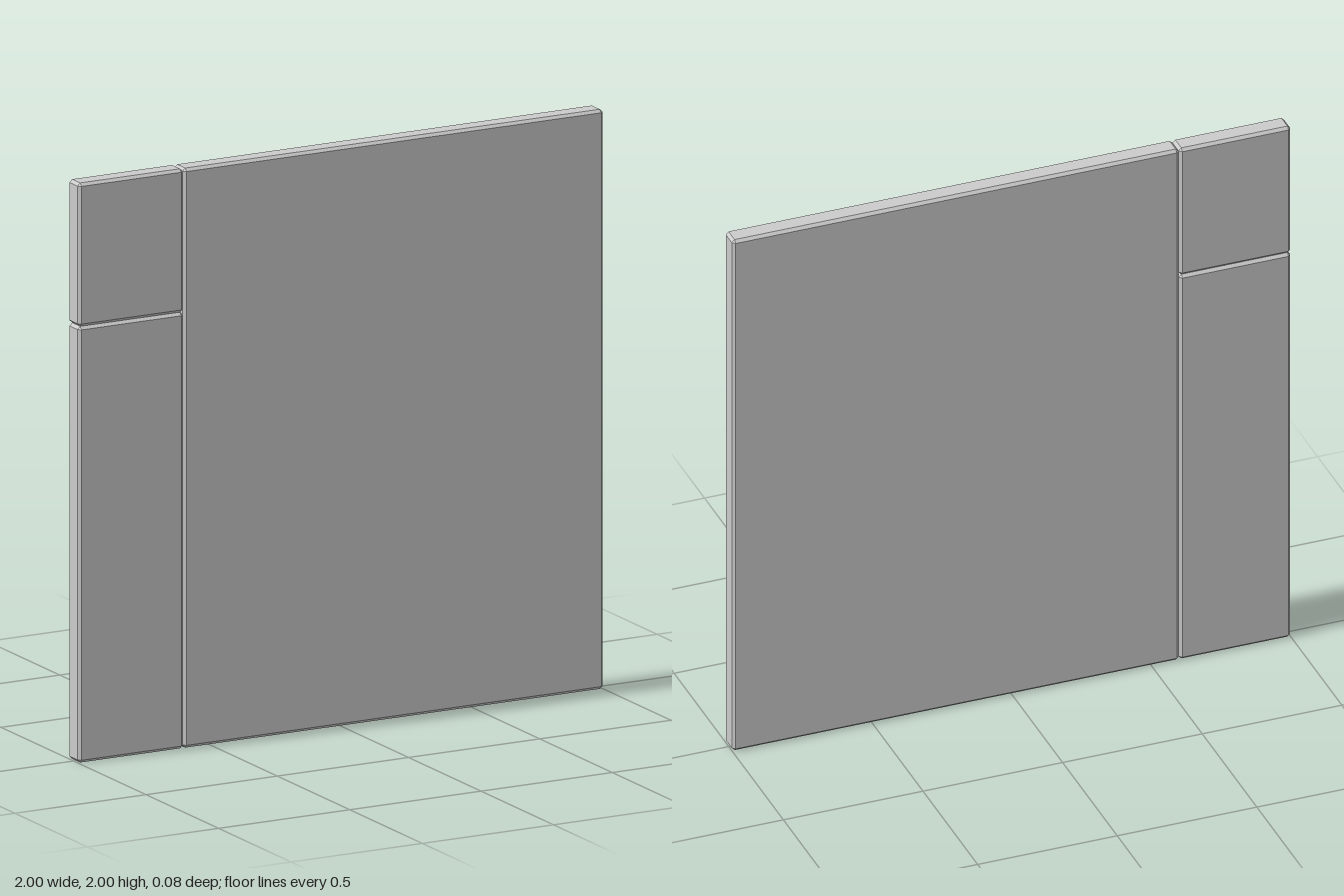
import * as THREE from 'three';
import { ConvexGeometry } from 'three/addons/geometries/ConvexGeometry.js';

const DEPTH = 0.075;
const BEVEL = 0.01;

// Box with every edge cut at 45 degrees: three points around each corner
function chamferedBox(w, h, d, b) {
  const points = [];
  for (const sx of [-1, 1]) for (const sy of [-1, 1]) for (const sz of [-1, 1]) {
    const x = w / 2, y = h / 2, z = d / 2;
    points.push(
      new THREE.Vector3(sx * x, sy * (y - b), sz * (z - b)),
      new THREE.Vector3(sx * (x - b), sy * y, sz * (z - b)),
      new THREE.Vector3(sx * (x - b), sy * (y - b), sz * z),
    );
  }
  return new ConvexGeometry(points);
}

export function createModel() {
  const model = new THREE.Group();
  model.name = 'panelWall';
  const material = new THREE.MeshStandardMaterial({ color: 0xcccccc, flatShading: true });

  // Panel spanning the given x and y limits
  function addPanel(name, x0, x1, y0, y1) {
    const panel = new THREE.Mesh(chamferedBox(x1 - x0, y1 - y0, DEPTH, BEVEL), material);
    panel.name = name;
    panel.position.set((x0 + x1) / 2, (y0 + y1) / 2, 0);
    model.add(panel);
  }

  // One large panel beside a narrow column split in two
  addPanel('largePanel', -0.6, 1, 0, 2);
  addPanel('lowerNarrowPanel', -1, -0.6, 0, 1.505);
  addPanel('upperNarrowPanel', -1, -0.6, 1.505, 2);

  return model;
}
